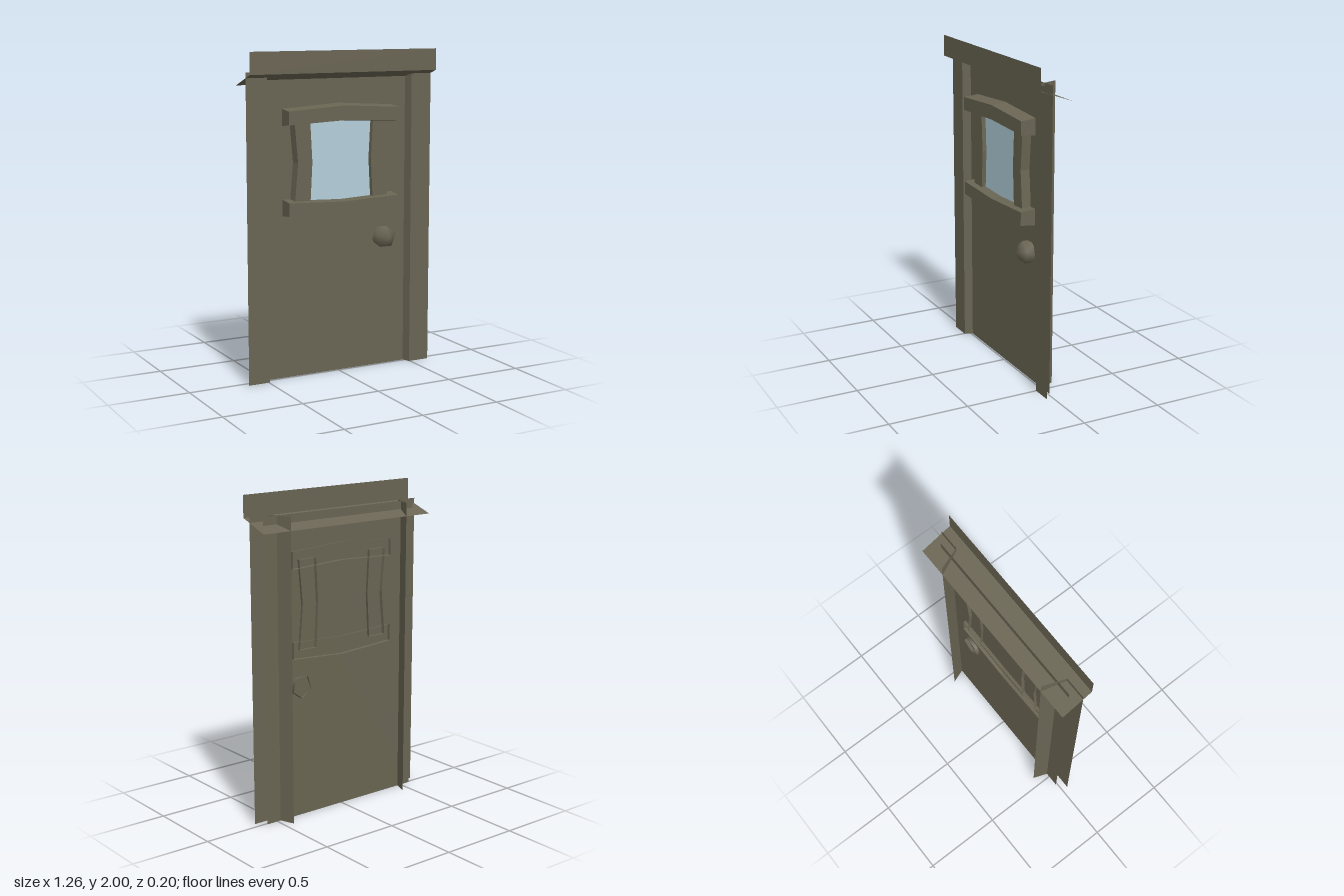
import * as THREE from 'three';

const wood = new THREE.MeshStandardMaterial({ color: 0x6a6553, side: THREE.DoubleSide });
wood.name = 'wood';
const glass = new THREE.MeshStandardMaterial({ color: 0xb4cfdc, side: THREE.DoubleSide });
glass.name = 'glass';

// Flat-shaded geometry from triangles and quads given as lists of corners
function facesGeometry(faces) {
  const pos = [];
  for (const f of faces) {
    for (let i = 1; i < f.length - 1; i++) pos.push(...f[0], ...f[i], ...f[i + 1]);
  }
  const g = new THREE.BufferGeometry();
  g.setAttribute('position', new THREE.Float32BufferAttribute(pos, 3));
  g.computeVertexNormals();
  return g;
}

// Raised trim: front outline joined to a wider back outline, open at the back
function flaredTrim(front, back, zFront, zBack) {
  const f = front.map(([x, y]) => [x, y, zFront]);
  const b = back.map(([x, y]) => [x, y, zBack]);
  const flat = front.map(([x, y]) => new THREE.Vector2(x, y));
  const faces = THREE.ShapeUtils.triangulateShape(flat, []).map((t) => t.map((i) => f[i]));
  f.forEach((p, i) => {
    const j = (i + 1) % f.length;
    faces.push([p, b[i], b[j], f[j]]);
  });
  return facesGeometry(faces);
}

export function createModel() {
  const group = new THREE.Group();
  const add = (name, geometry, material = wood) => {
    const mesh = new THREE.Mesh(geometry, material);
    mesh.name = name;
    group.add(mesh);
  };

  // Door leaf
  const leafW = 0.573, top = 1.88, leafZ = -0.01;
  add('doorPanel', facesGeometry([
    [[-leafW, 0, leafZ], [leafW, 0, leafZ], [leafW, top, leafZ], [-leafW, top, leafZ]],
  ]));

  // Jambs: front board and slanted reveal
  for (const s of [-1, 1]) {
    const profile = [[0.632, 0.04], [0.494, 0.04], [0.442, -0.1]];
    const faces = [];
    for (let i = 0; i < 2; i++) {
      const [x0, z0] = profile[i], [x1, z1] = profile[i + 1];
      const quad = [[s * x1, 0, z1], [s * x0, 0, z0], [s * x0, top, z0], [s * x1, top, z1]];
      faces.push(s > 0 ? quad : quad.reverse());
    }
    add(s > 0 ? 'leftJamb' : 'rightJamb', facesGeometry(faces));
  }

  // Header: front board and slanted soffit
  const w = 0.632;
  add('header', facesGeometry([
    [[-w, 1.867, 0.1], [w, 1.867, 0.1], [w, 2, 0.1], [-w, 2, 0.1]],
    [[-w, 1.797, -0.1], [w, 1.797, -0.1], [w, 1.867, 0.1], [-w, 1.867, 0.1]],
  ]));

  // Window rails bowing away from the window centre
  const midY = 1.332, railW = 0.377, flare = 0.012;
  for (const s of [-1, 1]) {
    const rail = (d) => {
      const pts = [
        [-railW, 0.232 - d], [0, 0.248 - d], [railW, 0.232 - d],
        [railW, 0.314 + d], [0, 0.337 + d], [-railW, 0.314 + d],
      ].map(([x, y]) => [x, midY + s * y]);
      return s > 0 ? pts : pts.reverse();
    };
    add(s > 0 ? 'upperRail' : 'lowerRail', flaredTrim(rail(0), rail(flare), 0.085, -0.03));
  }

  // Window stiles pinched at mid height
  for (const s of [-1, 1]) {
    const stile = (d) => {
      const pts = [
        [0.217 - d, midY - 0.275], [0.322 + d, midY - 0.275], [0.298 + d, midY],
        [0.322 + d, midY + 0.275], [0.217 - d, midY + 0.275], [0.202 - d, midY],
      ].map(([x, y]) => [s * x, y]);
      return s > 0 ? pts : pts.reverse();
    };
    add(s > 0 ? 'leftStile' : 'rightStile', flaredTrim(stile(0), stile(0.01), 0.045, -0.03));
  }

  // Window pane
  const pane = new THREE.PlaneGeometry(0.48, 0.53);
  pane.translate(0, midY, 0.02);
  add('windowPane', pane, glass);

  // Knob: five-sided smooth ball, open where it enters the door
  const knobPos = [0, 0, 0.08], knobIndex = [];
  for (let ring = 0; ring < 2; ring++) {
    for (let i = 0; i < 5; i++) {
      const a = Math.PI / 2 + (i + ring / 2) * Math.PI * 0.4;
      knobPos.push(0.0716 * Math.cos(a), 0.0716 * Math.sin(a), ring ? -0.036 : 0.036);
    }
  }
  for (let i = 0; i < 5; i++) {
    const a = 1 + i, b = 1 + (i + 1) % 5;
    knobIndex.push(0, a, b, a, a + 5, b, b, a + 5, b + 5);
  }
  const knob = new THREE.BufferGeometry();
  knob.setAttribute('position', new THREE.Float32BufferAttribute(knobPos, 3));
  knob.setIndex(knobIndex);
  knob.computeVertexNormals();
  knob.translate(0.315, 0.828, 0.005);
  add('knob', knob);

  return group;
}
